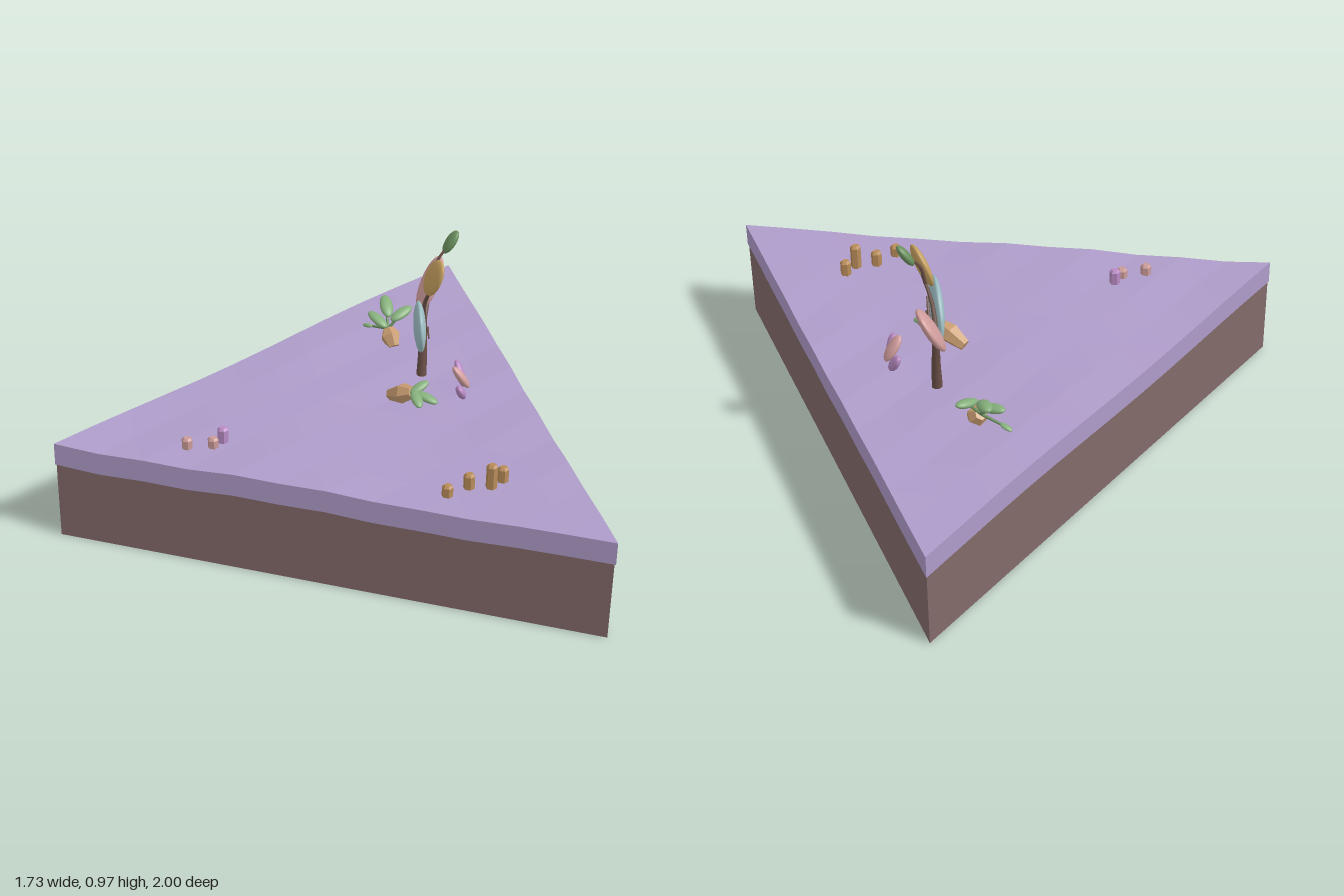
import * as THREE from 'three';

const V = (a) => new THREE.Vector3(...a);
const mats = {};
const mat = (color) => (mats[color] ??= new THREE.MeshStandardMaterial({ color }));
const flat = (color) => (mats['f' + color] ??= new THREE.MeshStandardMaterial({ color, flatShading: true }));
const C = {
  moss: 0xae9cc9, soil: 0x836a6a, bark: 0x6b5148, blue: 0x9fc0c6, pink: 0xd3a09f, gold: 0xc6a05f,
  green: 0x86b07c, darkGreen: 0x6b9160, tan: 0xc99d72, amber: 0xb98c5a, violet: 0xb98bc4, rose: 0xc99a96,
};

function add(group, name, geometry, material) {
  const mesh = new THREE.Mesh(geometry, material);
  mesh.name = name;
  group.add(mesh);
  return mesh;
}

// Gentle ground undulation
const ground = (x, z) =>
  0.384 + 0.005 * Math.sin(5.5 * x + 1.5 + 2 * z) + 0.005 * Math.sin(4.3 * z - 3.1 * x) + 0.003 * Math.sin(13 * x + 17 * z);

// Triangular sheet of moss: facetted top, wavy underside and side walls
function mossGeometry(n = 12) {
  const pos = [];
  const point = (i, j, drop) => {
    const x = -0.865 + (1.73 * i) / n;
    const z = i ? (i / n) * (1 - (2 * j) / i) : 0;
    return [x, ground(x, z) - drop, z];
  };
  const tri = (a, b, c) => pos.push(...a, ...b, ...c);
  const wall = (a, b) => {
    const [p, q, r, s] = [point(...a, 0), point(...b, 0), point(...a, 0.087), point(...b, 0.087)];
    tri(p, r, q);
    tri(q, r, s);
  };
  for (let i = 0; i < n; i++) {
    for (let j = 0; j <= i; j++) {
      for (const drop of [0, 0.087]) {
        const a = point(i, j, drop), b = point(i + 1, j, drop), c = point(i + 1, j + 1, drop);
        drop ? tri(a, c, b) : tri(a, b, c);
        if (j < i) {
          const d = point(i, j + 1, drop);
          drop ? tri(a, d, c) : tri(a, c, d);
        }
      }
    }
    wall([i, 0], [i + 1, 0]);
    wall([i + 1, i + 1], [i, i]);
    wall([n, i], [n, i + 1]);
  }
  const g = new THREE.BufferGeometry();
  g.setAttribute('position', new THREE.Float32BufferAttribute(pos, 3));
  g.computeVertexNormals();
  // Walls must face away from the middle of the triangle
  const p = g.attributes.position, nrm = g.attributes.normal;
  for (let t = 0; t < p.count; t += 3) {
    if (Math.abs(nrm.getY(t)) > 0.5) continue;
    if ((p.getX(t) - 0.288) * nrm.getX(t) + p.getZ(t) * nrm.getZ(t) > 0) continue;
    const b = [p.getX(t + 1), p.getY(t + 1), p.getZ(t + 1)];
    p.setXYZ(t + 1, p.getX(t + 2), p.getY(t + 2), p.getZ(t + 2));
    p.setXYZ(t + 2, ...b);
  }
  g.computeVertexNormals();
  return g;
}

// Flattened ellipsoid leaf: size = half length, half width, half thickness
function leaf(group, name, centre, along, normal, size, color) {
  const y = V(along).normalize();
  const x = V(normal).cross(y).normalize();
  const z = x.clone().cross(y);
  const mesh = add(group, name, new THREE.SphereGeometry(1, 18, 12), mat(color));
  mesh.quaternion.setFromRotationMatrix(new THREE.Matrix4().makeBasis(x, y, z));
  mesh.scale.set(size[1], size[0], size[2]);
  mesh.position.set(...centre);
}

// Tapered round or facetted rod between two points
function rod(group, name, from, to, r0, r1, material, sides = 8) {
  const a = V(from), b = V(to), d = b.clone().sub(a);
  const mesh = add(group, name, new THREE.CylinderGeometry(r1, r0, d.length(), sides), material);
  mesh.position.copy(a).lerp(b, 0.5);
  mesh.quaternion.setFromUnitVectors(new THREE.Vector3(0, 1, 0), d.normalize());
}

function branch(group, name, points, r0, r1) {
  const joints = new THREE.CatmullRomCurve3(points.map(V)).getPoints(6);
  const radius = (i) => r0 + ((r1 - r0) * i) / 6;
  for (let i = 0; i < 6; i++) {
    rod(group, name, joints[i].toArray(), joints[i + 1].toArray(), radius(i), radius(i + 1), mat(C.bark));
  }
}

function tree() {
  const g = new THREE.Group();
  g.name = 'tree';
  branch(g, 'trunk', [[0.53, 0.37, -0.2], [0.535, 0.48, -0.212], [0.54, 0.6, -0.235]], 0.02, 0.013);
  branch(g, 'pinkLeafStem', [[0.54, 0.59, -0.235], [0.57, 0.66, -0.275], [0.62, 0.74, -0.31]], 0.013, 0.004);
  branch(g, 'blueLeafStem', [[0.535, 0.56, -0.225], [0.535, 0.59, -0.17], [0.505, 0.655, -0.06]], 0.01, 0.004);
  branch(g, 'tallStem', [[0.537, 0.58, -0.23], [0.525, 0.7, -0.17], [0.55, 0.84, -0.1]], 0.011, 0.004);
  branch(g, 'greenLeafStem', [[0.54, 0.78, -0.15], [0.56, 0.86, -0.165], [0.61, 0.925, -0.178]], 0.007, 0.004);
  rod(g, 'blueLeafVein', [0.525, 0.615, -0.13], [0.515, 0.605, -0.07], 0.005, 0.003, mat(C.bark), 6);
  rod(g, 'pinkLeafVein', [0.59, 0.695, -0.29], [0.605, 0.705, -0.33], 0.005, 0.003, mat(C.bark), 6);
  leaf(g, 'blueLeaf', [0.49, 0.635, -0.11], [0.05, -0.11, -0.22], [1, 0.05, 0.2], [0.12, 0.095, 0.022], C.blue);
  leaf(g, 'pinkLeaf', [0.58, 0.7, -0.305], [0.1, 0.18, -0.08], [1, -0.5, 0.1], [0.107, 0.077, 0.022], C.pink);
  leaf(g, 'yellowLeaf', [0.537, 0.828, -0.113], [0.04, 0.13, 0.06], [1, -0.25, -0.1], [0.08, 0.054, 0.018], C.gold);
  leaf(g, 'greenLeaf', [0.615, 0.93, -0.18], [0.05, 0.08, 0], [1, -0.6, 0], [0.048, 0.03, 0.016], C.darkGreen);
  return g;
}

// Leaning bulb with a fan of leaves
function bulbPlant(name, from, to, leaves) {
  const g = new THREE.Group();
  g.name = name;
  const mid = V(from).lerp(V(to), 0.6).toArray();
  rod(g, 'bulbBase', from, mid, 0.022, 0.038, flat(C.tan), 6);
  rod(g, 'bulbTop', mid, to, 0.038, 0.022, flat(C.tan), 6);
  for (const [centre, along, length] of leaves) {
    leaf(g, 'bulbLeaf', centre, along, [0.1, 1, 0.1], [length, length * 0.46, length * 0.3], C.green);
    rod(g, 'leafStalk', to, centre, 0.006, 0.004, mat(C.darkGreen), 6);
  }
  return g;
}

// Little facetted post with a bevelled tip
function post(group, x, z, top, color) {
  const y = top - 0.008;
  rod(group, 'post', [x, 0.36, z], [x, y, z], 0.02, 0.02, flat(color), 6);
  rod(group, 'postTip', [x, y, z], [x, top, z], 0.02, 0.012, flat(color), 6);
}

export function createModel() {
  const root = new THREE.Group();
  root.name = 'islandTile';

  // Ground
  const soil = add(root, 'soil', new THREE.CylinderGeometry(1.148, 1.148, 0.305, 3, 1, false, -Math.PI / 2), flat(C.soil));
  soil.position.set(0.288, 0.1525, 0);
  add(root, 'moss', mossGeometry(), flat(C.moss));

  root.add(tree());

  // Leafy bulbs
  root.add(bulbPlant('frontBulb', [0.37, 0.4, -0.05], [0.43, 0.45, 0.035], [
    [[0.455, 0.465, 0.03], [0.8, 0.3, -0.3], 0.042],
    [[0.47, 0.45, 0.08], [0.7, -0.2, 0.7], 0.045],
    [[0.43, 0.455, 0.09], [0, -0.2, 1], 0.045],
  ]));
  root.add(bulbPlant('backBulb', [0.48, 0.38, -0.41], [0.47, 0.43, -0.465], [
    [[0.475, 0.5, -0.515], [0.1, 0.35, -1], 0.055],
    [[0.52, 0.49, -0.465], [0.9, 0.3, -0.4], 0.05],
    [[0.435, 0.46, -0.49], [-0.5, 0.3, -0.9], 0.05],
    [[0.41, 0.41, -0.54], [-0.5, -0.2, -0.8], 0.025],
  ]));

  // Petal cluster
  const petals = new THREE.Group();
  petals.name = 'petalCluster';
  leaf(petals, 'pinkPetal', [0.63, 0.45, -0.03], [-0.06, 0.09, 0], [1, 0.6, 0], [0.055, 0.028, 0.016], C.pink);
  leaf(petals, 'violetPetal', [0.615, 0.42, 0.025], [-0.03, 0.06, 0.05], [1, 0.5, 0], [0.045, 0.025, 0.016], C.violet);
  leaf(petals, 'violetPetal', [0.645, 0.43, -0.09], [-0.01, 0.06, -0.05], [1, 0.5, 0.2], [0.052, 0.024, 0.016], C.violet);
  root.add(petals);

  // Post clusters
  const posts = new THREE.Group();
  posts.name = 'posts';
  const spots = [
    [-0.41, 0.12, 0.428, C.rose], [-0.32, 0.135, 0.426, C.rose], [-0.28, 0.11, 0.446, C.violet],
    [0.4, 0.6, 0.428, C.amber], [0.485, 0.57, 0.442, C.amber], [0.56, 0.585, 0.478, C.amber], [0.61, 0.555, 0.442, C.amber],
  ];
  for (const s of spots) post(posts, ...s);
  root.add(posts);

  return root;
}
